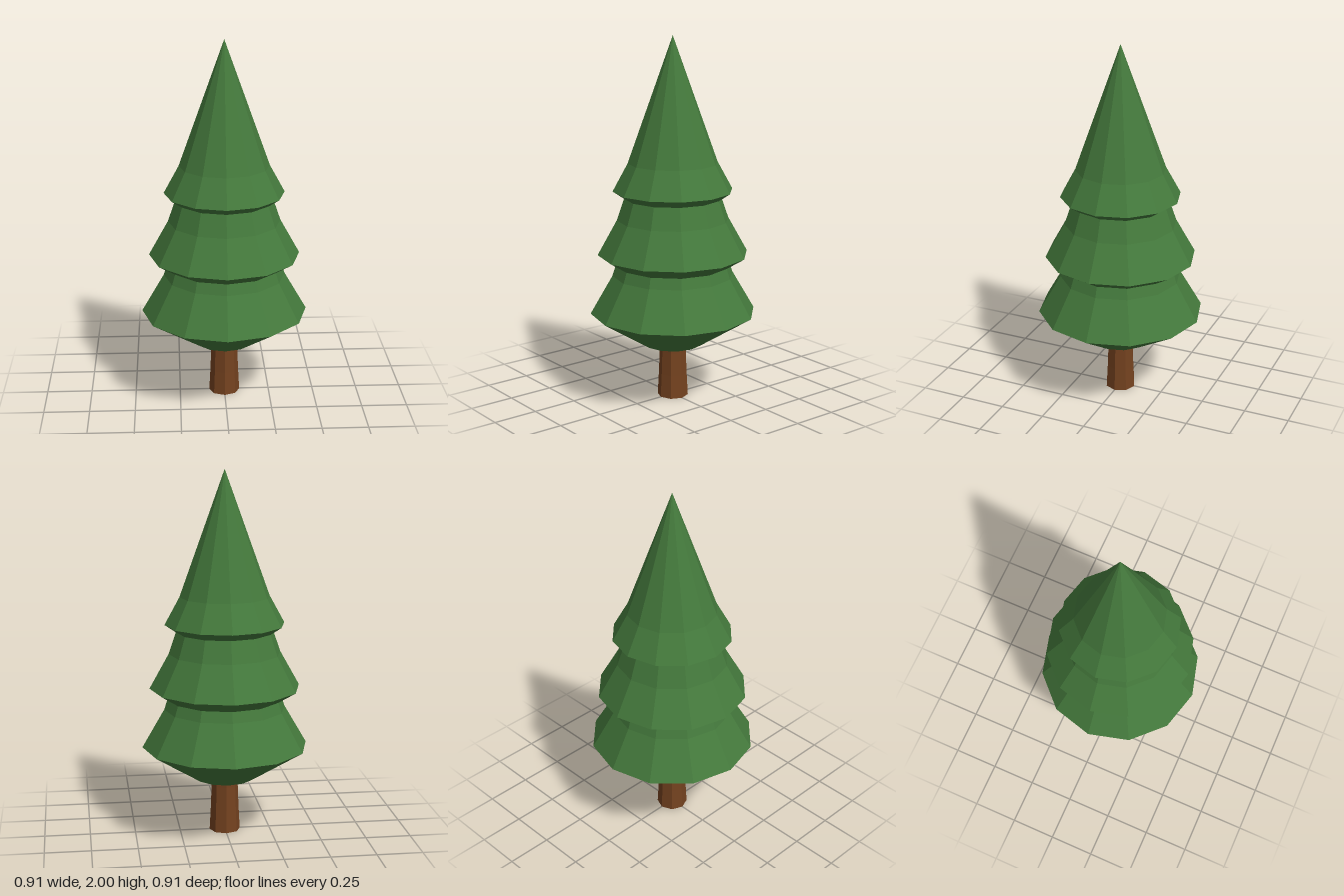
import * as THREE from 'three';

// Faceted solid of revolution; profile points are [radius, height], bottom to top.
function facetedLathe(name, profile, sides, material) {
  const points = profile.map(([r, y]) => new THREE.Vector2(r, y));
  const mesh = new THREE.Mesh(new THREE.LatheGeometry(points, sides), material);
  mesh.name = name;
  return mesh;
}

export function createModel() {
  const tree = new THREE.Group();
  tree.name = 'pineTree';
  const bark = new THREE.MeshStandardMaterial({ color: 0x74421f, flatShading: true });
  const needles = new THREE.MeshStandardMaterial({ color: 0x44793c, flatShading: true });

  // Eight-sided trunk, slightly flared at the foot and closed underneath
  tree.add(facetedLathe('trunk',
    [[0, 0], [0.085, 0], [0.078, 0.13], [0.073, 0.26], [0.073, 0.4]], 8, bark));

  // Twelve-sided foliage tiers: flat base, sloped underside, rim, shoulder, tip
  const tiers = [
    { name: 'lowerFoliage', base: [0.165, 0.305], rim: [0.455, 0.49], shoulder: [0.333, 0.70], tip: 1.7 },
    { name: 'middleFoliage', base: [0.15, 0.656], rim: [0.412, 0.82], shoulder: [0.306, 1.01], tip: 1.9 },
    { name: 'topFoliage', base: [0.12, 1.03], rim: [0.327, 1.17], shoulder: [0.245, 1.32], tip: 2 },
  ];
  for (const { name, base, rim, shoulder, tip } of tiers) {
    tree.add(facetedLathe(name, [[0, base[1]], base, rim, shoulder, [0, tip]], 12, needles));
  }
  return tree;
}
